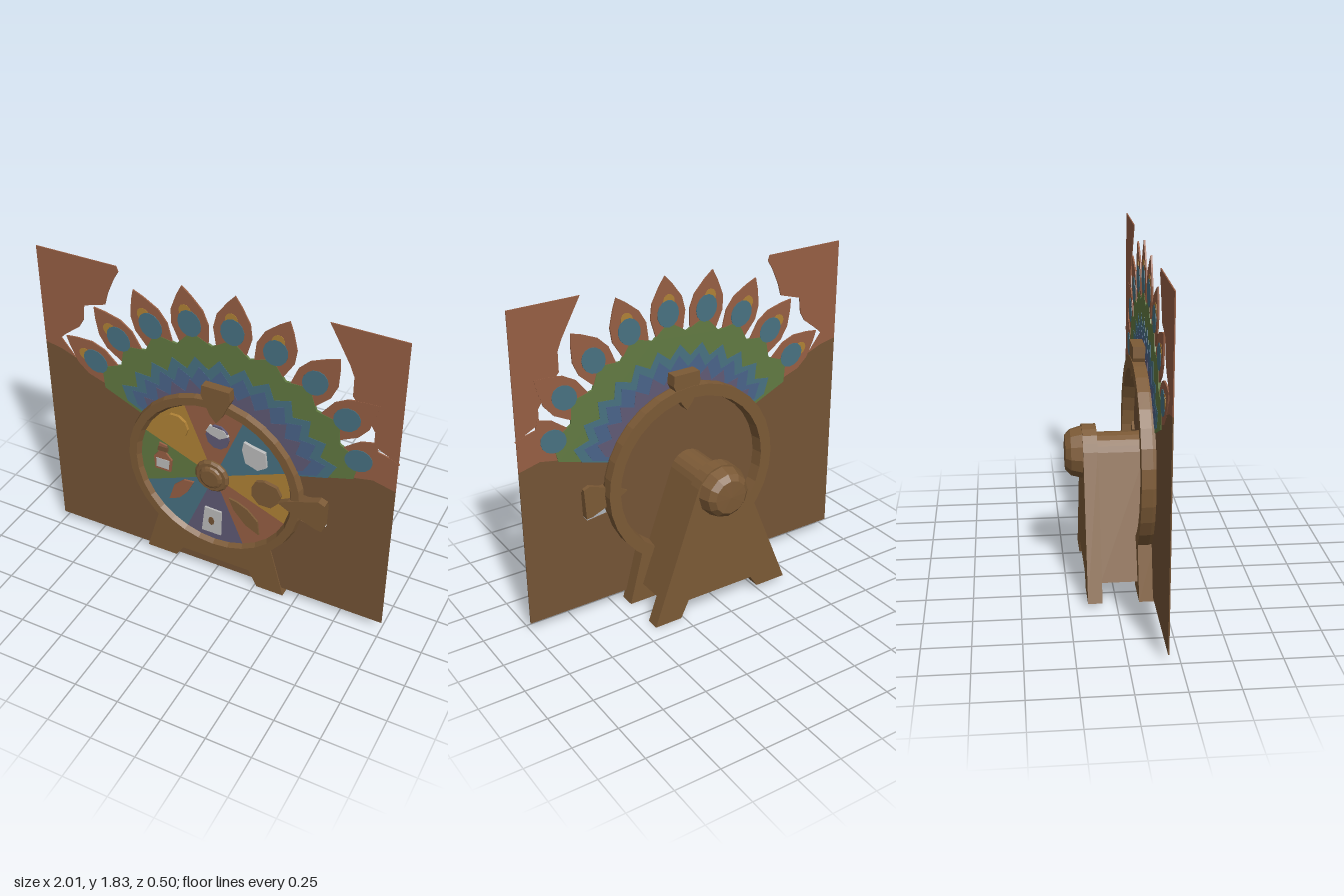
import * as THREE from 'three';

const paint = (name, color) => {
  const m = new THREE.MeshStandardMaterial({ color });
  m.name = name;
  return m;
};

export function createModel() {
  const root = new THREE.Group();
  root.name = 'prizeWheel';
  const brown = paint('boardBrown', 0x745436), wood = paint('wood', 0x7c5a36);
  const rust = paint('rust', 0x975f44), green = paint('green', 0x627a42);
  const teal = paint('teal', 0x487282), blue = paint('blue', 0x4a648a);
  const purple = paint('purple', 0x605a76), yellow = paint('yellow', 0xb08236);
  const white = paint('white', 0xbdbdbd);

  const add = (name, geo, mat, parent = root) => {
    const mesh = new THREE.Mesh(geo, mat);
    mesh.name = name;
    parent.add(mesh);
    return mesh;
  };
  const outline = pts => new THREE.Shape(pts.map(p => new THREE.Vector2(p[0], p[1])));
  // Flat part with outline pts between depths z0 and z1
  const plate = (name, mat, pts, z0, z1, parent = root, hole) => {
    const shape = outline(pts);
    if (hole) shape.holes.push(outline(hole));
    const geo = new THREE.ExtrudeGeometry(shape, { depth: z1 - z0, bevelEnabled: false });
    return add(name, geo.translate(0, 0, z0), mat, parent);
  };
  // Thin two-sided layer of the backboard; higher layers show over lower ones
  const layer = (name, mat, pts, level, hole) =>
    plate(name, mat, pts, 0.19 - 0.003 - level * 0.001, 0.19 + 0.003 + level * 0.001, root, hole);
  const ellipse = (x, y, rx, ry, turn = 0, n = 14) => Array.from({ length: n }, (_, i) => {
    const a = i / n * Math.PI * 2, u = rx * Math.cos(a), v = ry * Math.sin(a);
    return [x + u * Math.cos(turn) - v * Math.sin(turn), y + u * Math.sin(turn) + v * Math.cos(turn)];
  });
  // Faceted turned part around the z axis
  const turned = (name, mat, profile, x, y, sides) => {
    const geo = new THREE.LatheGeometry(profile.map(p => new THREE.Vector2(p[0], p[1])), sides)
      .rotateX(Math.PI / 2).toNonIndexed();
    geo.computeVertexNormals();
    return add(name, geo.translate(x, y, 0), mat);
  };

  // Backboard: brown field with rust corners
  layer('lowerBoard', brown, [[-1, 0.05], [1, 0.05], [1, 0.96], [0.88, 0.99], [0.6, 0.93],
    [0.3, 1.0], [-0.3, 1.0], [-0.55, 1.08], [-0.8, 1.19], [-0.9, 1.23], [-1, 1.25]], 0,
  [[0.5, 0.58], [0.63, 0.565], [0.655, 0.6], [0.66, 0.75], [0.5, 0.76]]);
  layer('leftCorner', rust, [[-1, 1.82], [-1, 1.25], [-0.9, 1.23], [-0.82, 1.2], [-0.9, 1.3],
    [-0.87, 1.33], [-0.78, 1.4], [-0.75, 1.45], [-0.74, 1.54], [-0.61, 1.58], [-0.59, 1.65],
    [-0.55, 1.74], [-0.52, 1.79], [-0.53, 1.82]], 0);
  layer('rightCorner', rust, [[1, 1.82], [0.61, 1.82], [0.66, 1.73], [0.72, 1.62], [0.745, 1.56],
    [0.745, 1.45], [0.77, 1.42], [0.82, 1.36], [0.87, 1.28], [0.87, 1.2], [0.95, 1.16],
    [0.97, 1.09], [0.8, 0.99], [0.62, 0.94], [0.88, 0.99], [1, 0.96]], 0);

  // Feather fan
  const fx = 0.05, fy = 0.75, rad = Math.PI / 180;
  for (let i = 0; i < 9; i++) {
    const a = (148 - i * 15.5) * rad, tip = i === 8 ? 0.99 : 1.08, eye = i === 8 ? 0.82 : 0.875;
    const at = (r, w) => [fx + r * Math.cos(a) - w * Math.sin(a), fy + r * Math.sin(a) + w * Math.cos(a)];
    layer('feather', rust, [at(0.6, -0.03), at(0.78, -0.085), at(0.87, -0.105), at(0.95, -0.09),
      at(1.03, -0.04), at(tip, 0), at(1.03 - 1.08 + tip, 0.04), at(0.95, 0.09), at(0.87, 0.105),
      at(0.78, 0.085), at(0.6, 0.03)], 1 + (i % 2) * 0.5);
    if (i < 6) layer('featherGlow', yellow, ellipse(...at(eye + 0.065, 0.01), 0.04, 0.035, a), 3);
    layer('featherEye', teal, ellipse(...at(eye, 0), 0.075, 0.065, a), 4);
  }
  // Jagged colour bands of the fan
  const band = (name, mat, inner, low, high, from, to, teeth, level) => {
    const pts = [];
    for (let i = 0; i <= teeth * 2; i++) {
      const a = (from + (to - from) * i / (teeth * 2)) * rad, r = i % 2 ? high : low;
      pts.push([fx + r * Math.cos(a), fy + r * Math.sin(a)]);
    }
    for (let i = 12; i >= 0; i--) {
      const a = (from + (to - from) * i / 12) * rad;
      pts.push([fx + inner * Math.cos(a), fy + inner * Math.sin(a)]);
    }
    layer(name, mat, pts, level);
  };
  band('greenBand', green, 0.4, 0.76, 0.83, 16.25, 155.75, 9, 3.5);
  band('tealBand', teal, 0.4, 0.62, 0.69, 16, 154, 12, 5);
  band('blueBand', blue, 0.4, 0.56, 0.63, 17, 152, 12, 6);
  band('purpleBand', purple, 0.4, 0.49, 0.56, 20, 150, 11, 7);

  // Wheel: rim, disc, coloured sectors and hub
  const cx = 0.01, cy = 0.7;
  turned('rim', wood, [[0.455, 0.112], [0.522, 0.112], [0.522, 0.17], [0.505, 0.232], [0.46, 0.232],
    [0.44, 0.2], [0.455, 0.112]], cx, cy, 32);
  plate('wheelDisc', brown, ellipse(cx, cy, 0.47, 0.47, 0, 32), 0.178, 0.2);
  [yellow, teal, rust, yellow, green, teal, purple, rust].forEach((mat, i) => {
    const pts = [[cx, cy]];
    for (let k = 0; k <= 5; k++) {
      const a = (i * 45 - 22.5 + k * 9) * rad;
      pts.push([cx + 0.455 * Math.cos(a), cy + 0.455 * Math.sin(a)]);
    }
    plate('wheelSector', mat, pts, 0.2, 0.205);
  });
  turned('frontHub', wood, [[0.1, 0.19], [0.1, 0.215], [0.088, 0.226], [0.07, 0.226], [0.064, 0.236],
    [0.05, 0.242], [0, 0.242]], 0, 0.705, 14);

  // Prize symbols on the sectors
  const prize = (name, mat, pts, top = 0.216) => plate(name, mat, pts, 0.203, top);
  prize('coin', yellow, ellipse(-0.215, 0.965, 0.08, 0.075, 0, 10), 0.222);
  prize('jar', purple, ellipse(0.035, 0.975, 0.068, 0.075, 0, 10));
  prize('jarTop', white, [[-0.03, 1.0], [0.0, 0.985], [0.05, 0.97], [0.1, 1.0], [0.075, 1.03], [-0.01, 1.04]], 0.22);
  prize('dice', white, [[0.18, 0.95], [0.2, 0.87], [0.27, 0.845], [0.32, 0.88], [0.31, 0.97], [0.24, 0.985], [0.19, 1.0]], 0.222);
  prize('pouch', wood, [[0.24, 0.73], [0.24, 0.67], [0.28, 0.625], [0.35, 0.625], [0.39, 0.67],
    [0.405, 0.72], [0.38, 0.77], [0.31, 0.785], [0.26, 0.77]], 0.225);
  prize('horn', wood, [[0.1, 0.59], [0.13, 0.52], [0.2, 0.44], [0.28, 0.4], [0.27, 0.49], [0.21, 0.55], [0.15, 0.58]]);
  prize('card', white, [[-0.065, 0.305], [0.05, 0.305], [0.055, 0.47], [-0.045, 0.475]]);
  prize('cardMark', brown, ellipse(-0.005, 0.39, 0.018, 0.028, 0, 8), 0.219);
  prize('pepper', rust, [[-0.265, 0.45], [-0.2, 0.48], [-0.15, 0.54], [-0.11, 0.62], [-0.17, 0.615], [-0.23, 0.56]]);
  prize('bottle', rust, [[-0.345, 0.64], [-0.25, 0.64], [-0.24, 0.72], [-0.275, 0.76], [-0.27, 0.81],
    [-0.315, 0.82], [-0.32, 0.76], [-0.35, 0.72]]);
  prize('bottleLabel', white, [[-0.335, 0.655], [-0.26, 0.655], [-0.255, 0.715], [-0.335, 0.715]], 0.219);
  prize('bottleCap', brown, [[-0.325, 0.77], [-0.265, 0.77], [-0.265, 0.8], [-0.32, 0.8]], 0.219);

  // Wedge pointers at the top and the side
  plate('topPointer', wood, [[-0.035, 1.3], [-0.04, 1.24], [0.01, 1.13], [0.045, 1.09], [0.075, 1.13],
    [0.125, 1.24], [0.12, 1.3]], 0.115, 0.248);
  plate('sidePointer', wood, [[0.395, 0.69], [0.45, 0.66], [0.61, 0.595], [0.645, 0.59], [0.655, 0.765],
    [0.62, 0.78], [0.45, 0.72]], 0.163, 0.238);

  // Stand: back A-plate, inset core, front foot plate
  const feet = [[-0.425, 0.03], [-0.24, 0.03], [-0.195, 0.1], [0.215, 0.1], [0.265, 0], [0.425, 0]];
  const cap = (r, y) => Array.from({ length: 9 }, (_, i) => {
    const a = (18 + i * 18) * rad;
    return [0.005 + r * Math.cos(a), y + r * Math.sin(a)];
  });
  plate('backPlate', wood, [...feet, ...cap(0.15, 0.715)], -0.153, -0.077);
  plate('standCore', wood, [[-0.34, 0.105], [0.345, 0.105], ...cap(0.11, 0.71)], -0.08, 0.18);
  plate('frontPlate', wood, [...feet, [0.34, 0.32], [-0.34, 0.32]], 0.114, 0.2);
  turned('backHub', wood, [[0, -0.248], [0.095, -0.243], [0.125, -0.215], [0.145, -0.145]], 0.005, 0.715, 12);

  return root;
}
